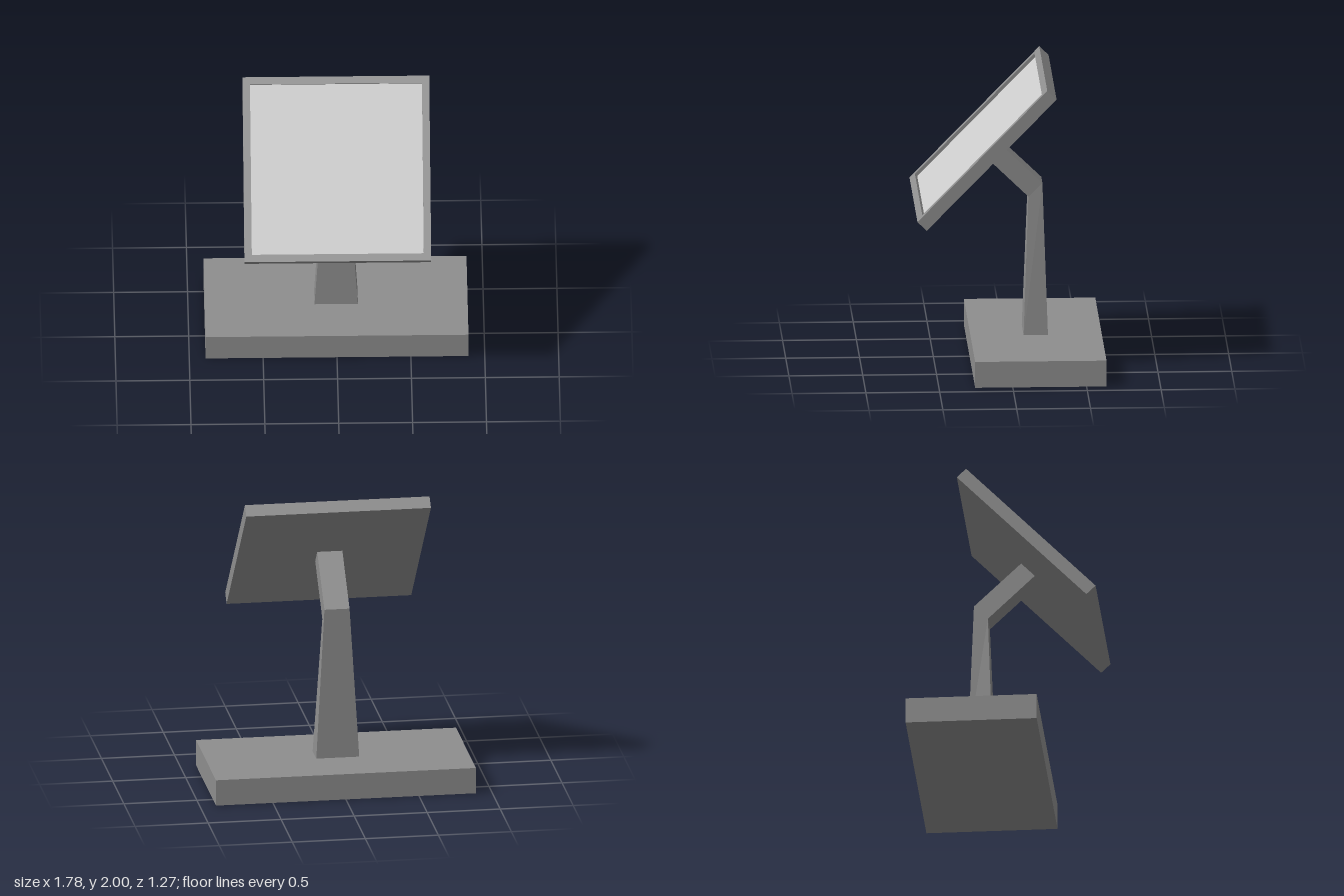
import * as THREE from 'three';

const bodyMat = new THREE.MeshStandardMaterial({ color: 0x8e8e8e, flatShading: true });
const screenMat = new THREE.MeshStandardMaterial({ color: 0xcccccc, flatShading: true });

function addMesh(parent, name, geometry, material, x = 0, y = 0, z = 0) {
  const mesh = new THREE.Mesh(geometry, material);
  mesh.name = name;
  mesh.position.set(x, y, z);
  parent.add(mesh);
  return mesh;
}

// Lofts four-cornered sections { w: half width, front: [y, z], back: [y, z] }, bottom to top.
function loft(sections) {
  const points = [];
  for (const { w, front, back } of sections) {
    points.push(w, ...front, w, ...back, -w, ...back, -w, ...front);
  }
  const index = [0, 2, 1, 0, 3, 2];
  for (let s = 0; s < sections.length - 1; s++) {
    for (let k = 0; k < 4; k++) {
      const a = s * 4 + k, b = s * 4 + (k + 1) % 4;
      index.push(a, b, b + 4, a, b + 4, a + 4);
    }
  }
  const t = (sections.length - 1) * 4;
  index.push(t, t + 1, t + 2, t, t + 2, t + 3);
  const geometry = new THREE.BufferGeometry();
  geometry.setAttribute('position', new THREE.Float32BufferAttribute(points, 3));
  geometry.setIndex(index);
  const flat = geometry.toNonIndexed();
  flat.computeVertexNormals();
  return flat;
}

function rectangle(PathType, w, h) {
  const path = new PathType();
  path.moveTo(-w / 2, -h / 2);
  path.lineTo(w / 2, -h / 2);
  path.lineTo(w / 2, h / 2);
  path.lineTo(-w / 2, h / 2);
  path.closePath();
  return path;
}

export function createModel() {
  const model = new THREE.Group();
  model.name = 'monitorOnStand';

  // Heavy slab foot
  addMesh(model, 'base', new THREE.BoxGeometry(1.78, 0.18, 0.89), bodyMat, 0, 0.09, -0.19);

  // Tapered post that bends forward to the back of the panel
  addMesh(model, 'standArm', loft([
    { w: 0.147, front: [0.18, -0.105], back: [0.18, -0.27] },
    { w: 0.086, front: [1.13, -0.14], back: [1.225, -0.235] },
    { w: 0.086, front: [1.44, 0.18], back: [1.535, 0.087] },
  ]), bodyMat);

  // Panel, tilted back
  const W = 1.264, H = 1.262, T = 0.088, border = 0.05, recess = 0.024;
  const panel = new THREE.Group();
  panel.name = 'panel';
  panel.position.set(0, 1.517, 0.1635);
  panel.rotation.x = -0.771;
  model.add(panel);

  const floor = T / 2 - recess;
  addMesh(panel, 'housing', new THREE.BoxGeometry(W, H, T - recess), bodyMat, 0, 0, -recess / 2);

  // Raised bezel around the recessed screen
  const bezel = rectangle(THREE.Shape, W, H);
  bezel.holes.push(rectangle(THREE.Path, W - 2 * border, H - 2 * border));
  addMesh(panel, 'bezel', new THREE.ExtrudeGeometry(bezel, { depth: recess, bevelEnabled: false }),
    bodyMat, 0, 0, floor);
  addMesh(panel, 'screen', new THREE.PlaneGeometry(W - 2 * border, H - 2 * border),
    screenMat, 0, 0, floor + 0.002);

  return model;
}
